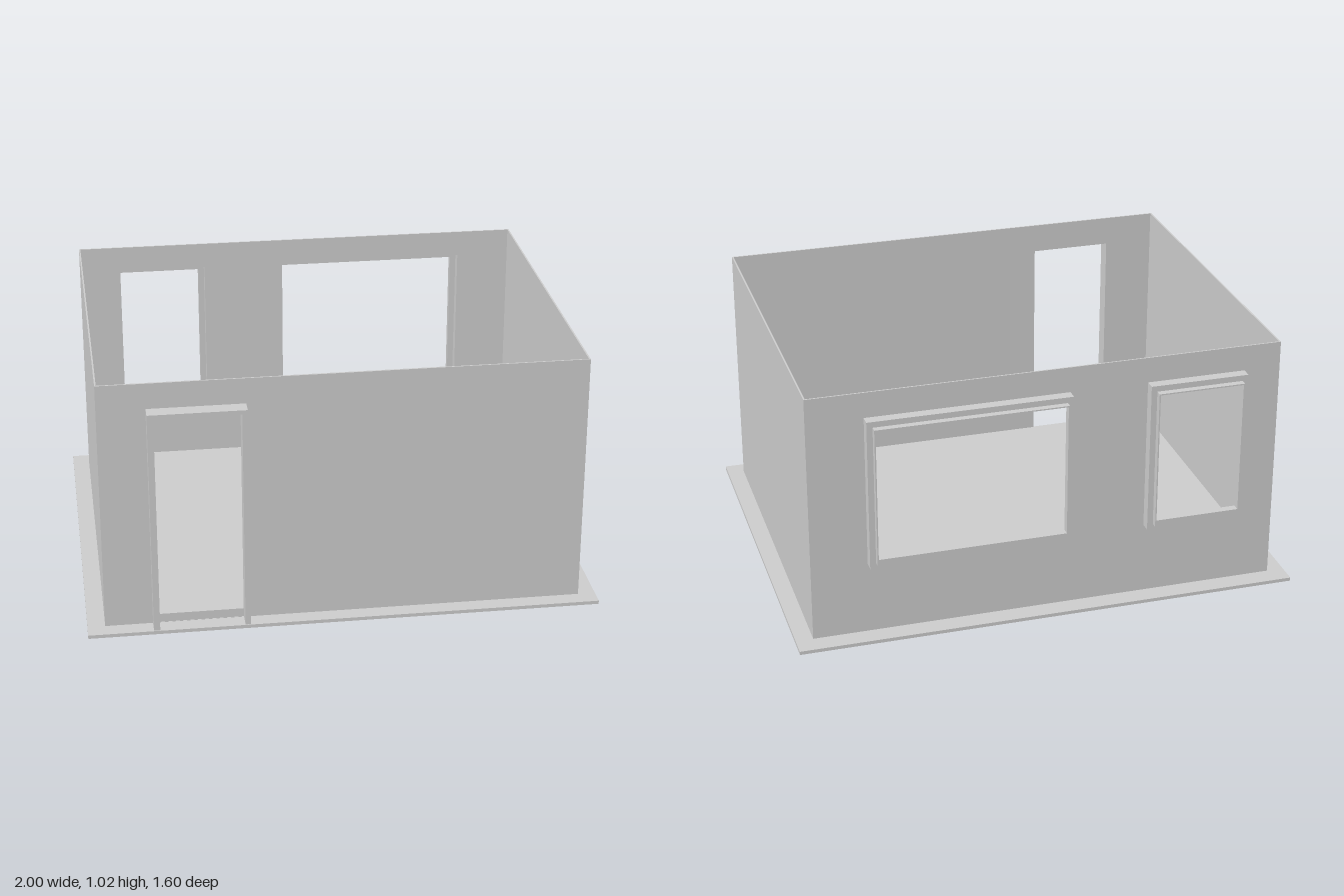
import * as THREE from 'three';

const material = new THREE.MeshStandardMaterial({ color: 0xcccccc, flatShading: true, side: THREE.DoubleSide });

// Rectangle outline as a list of points: [x0, x1, y0, y1]
function outline([x0, x1, y0, y1]) {
  return [[x0, y0], [x1, y0], [x1, y1], [x0, y1]].map(([x, y]) => new THREE.Vector2(x, y));
}

// Upright panel with rectangular holes, spanning z0 to z1
function panel(name, rect, holes, z0, z1) {
  const shape = new THREE.Shape(outline(rect));
  for (const h of holes) shape.holes.push(new THREE.Path(outline(h)));
  const geometry = new THREE.ExtrudeGeometry(shape, { depth: z1 - z0, bevelEnabled: false });
  geometry.translate(0, 0, z0);
  const mesh = new THREE.Mesh(geometry, material);
  mesh.name = name;
  return mesh;
}

function box(name, x0, x1, y0, y1, z0, z1) {
  const mesh = new THREE.Mesh(new THREE.BoxGeometry(x1 - x0, y1 - y0, z1 - z0), material);
  mesh.position.set((x0 + x1) / 2, (y0 + y1) / 2, (z0 + z1) / 2);
  mesh.name = name;
  return mesh;
}

function inset([x0, x1, y0, y1], side, bottom = side, top = side) {
  return [x0 + side, x1 - side, y0 + bottom, y1 - top];
}

const SLAB = 0.014, HEIGHT = 1.022, HALF = 0.932, BACK = -0.722, FRONT = 0.735, T = 0.006;

// Stepped hollow surround: a wide sleeve, a narrow ledge, then a smaller sleeve with a sill
function windowFrame(name, rect) {
  const group = new THREE.Group();
  group.name = name;
  const inner = inset(rect, 0.023);
  const opening = inset(inner, 0.005, 0.027, 0.005);
  group.add(
    panel('outerSleeve', rect, [inset(rect, 0.004)], -0.76, BACK + T),
    panel('ledge', rect, [opening], -0.764, -0.759),
    panel('innerSleeve', inner, [opening], -0.79, -0.764)
  );
  return group;
}

export function createModel() {
  const model = new THREE.Group();
  const windows = {
    smallWindowFrame: [-0.787, -0.395, 0.306, 0.92],
    largeWindowFrame: [-0.086, 0.711, 0.306, 0.92],
  };

  // Base slab and raised floor inside the walls
  model.add(box('baseSlab', -1, 1, 0, SLAB, -0.8, 0.8));
  model.add(box('floor', -HALF + 0.002, HALF - 0.002, SLAB, 0.05, BACK + 0.002, FRONT - 0.002));

  // Thin walls
  const wall = [-HALF, HALF, SLAB, HEIGHT];
  const door = [-0.748, -0.374, SLAB, 0.92];
  const doorway = [-0.724, -0.395, SLAB + 0.001, 0.903];
  model.add(panel('backWall', wall, Object.values(windows).map((r) => inset(r, 0.004)), BACK, BACK + T));
  model.add(panel('frontWall', wall, [doorway], FRONT - T, FRONT));
  for (const s of [-1, 1]) {
    const side = box('sideWall', -T / 2, T / 2, SLAB, HEIGHT, BACK + T, FRONT - T);
    side.position.x = s * (HALF - T / 2);
    model.add(side);
  }

  // Windows
  for (const [name, rect] of Object.entries(windows)) model.add(windowFrame(name, rect));

  // Door surround: two posts and a lintel
  const doorFrame = new THREE.Group();
  doorFrame.name = 'doorFrame';
  doorFrame.add(
    box('post', door[0], doorway[0], SLAB, door[3], FRONT, 0.796),
    box('post', doorway[1], door[1], SLAB, door[3], FRONT, 0.796),
    box('lintel', doorway[0], doorway[1], doorway[3], door[3], FRONT, 0.796)
  );
  model.add(doorFrame);
  return model;
}
